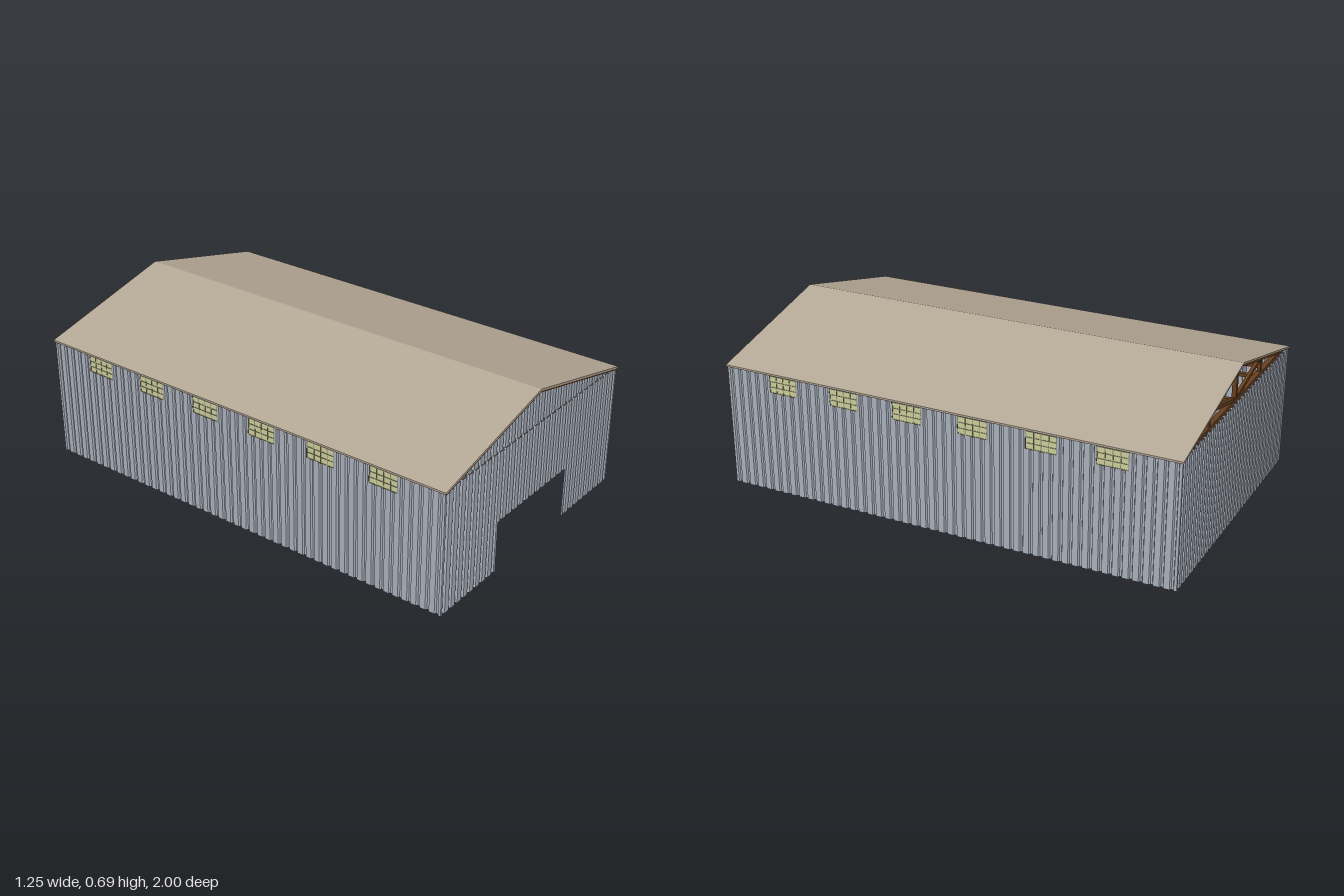
import * as THREE from 'three';

const W = 0.62, L = 0.995;            // half width and half length of the walls
const EAVE = 0.53, RIDGE = 0.688;     // roof top heights
const PITCH = 0.0415, DEPTH = 0.008;  // corrugation
const roofY = x => RIDGE - (RIDGE - 0.535) * Math.abs(x) / 0.625;

const wallMat = new THREE.MeshStandardMaterial({ name: 'galvanised steel', color: 0xabb2be, side: THREE.DoubleSide });
const roofMat = new THREE.MeshStandardMaterial({ name: 'tan roofing', color: 0xb5a896 });
const woodMat = new THREE.MeshStandardMaterial({ name: 'brown timber', color: 0x67401f });
const glassMat = new THREE.MeshStandardMaterial({ name: 'pale yellow glass', color: 0xcfcf9c });
const frameMat = new THREE.MeshStandardMaterial({ name: 'olive window bars', color: 0x84866a });

// Corrugated sheet from u0 to u1 with a wide flat and a narrow inward groove
function sheet(name, u0, u1, bottom, top) {
  const steps = [[0, 0], [0.3, 0], [0.4, -DEPTH], [0.6, -DEPTH], [0.7, 0]];
  const depthAt = u => {
    const t = ((u / PITCH) % 1 + 1) % 1;
    if (t < 0.3 || t > 0.7) return 0;
    return -DEPTH * Math.min(1, (t - 0.3) / 0.1, (0.7 - t) / 0.1);
  };
  const us = [u0];
  for (let k = Math.floor(u0 / PITCH); k <= u1 / PITCH; k++)
    for (const [t] of steps) {
      const u = (k + t) * PITCH;
      if (u > u0 + 1e-4 && u < u1 - 1e-4) us.push(u);
    }
  us.push(u1);
  const topAt = typeof top === 'function' ? top : () => top;
  const pos = [];
  for (let i = 0; i < us.length - 1; i++) {
    const a = us[i], b = us[i + 1], za = depthAt(a), zb = depthAt(b);
    pos.push(a, bottom, za, b, bottom, zb, b, topAt(b), zb);
    pos.push(a, bottom, za, b, topAt(b), zb, a, topAt(a), za);
  }
  const g = new THREE.BufferGeometry();
  g.setAttribute('position', new THREE.Float32BufferAttribute(pos, 3));
  g.computeVertexNormals();
  const m = new THREE.Mesh(g, wallMat);
  m.name = name;
  return m;
}

function box(name, mat, w, h, d, x, y, z) {
  const m = new THREE.Mesh(new THREE.BoxGeometry(w, h, d), mat);
  m.name = name;
  m.position.set(x, y, z);
  return m;
}

// Square timber between two points
function beam(name, a, b, w = 0.018, h = w) {
  const p = new THREE.Vector3(...a), q = new THREE.Vector3(...b);
  const m = new THREE.Mesh(new THREE.BoxGeometry(w, h, p.distanceTo(q)), woodMat);
  m.name = name;
  m.position.copy(p).add(q).multiplyScalar(0.5);
  m.lookAt(q);
  return m;
}

// Window with a 4 by 3 grid of bars
function windowUnit(u) {
  const g = new THREE.Group();
  g.name = 'window';
  g.position.set(u, 0.486, -0.004);
  g.add(box('glass', glassMat, 0.13, 0.075, 0.004, 0, 0, 0));
  for (let i = 0; i <= 4; i++) g.add(box('verticalBar', frameMat, 0.003, 0.075, 0.007, -0.0635 + i * 0.03175, 0, 0));
  for (let j = 0; j <= 3; j++) g.add(box('crossBar', frameMat, 0.13, 0.003, 0.007, 0, -0.036 + j * 0.024, 0));
  return g;
}

// Long wall with six window openings under the eave
function sideWall(name) {
  const g = new THREE.Group();
  g.name = name;
  g.add(sheet('lowerSheet', -L, L, 0, 0.449));
  let start = -L;
  for (let i = 0; i < 6; i++) {
    const u = (i - 2.5) * 0.29;
    g.add(sheet('upperSheet', start, u - 0.065, 0.449, EAVE), windowUnit(u));
    start = u + 0.065;
  }
  g.add(sheet('upperSheet', start, L, 0.449, EAVE));
  return g;
}

export function createModel() {
  const model = new THREE.Group();
  model.name = 'warehouse';

  // Side walls
  for (const s of [-1, 1]) {
    const wall = sideWall(s > 0 ? 'leftWall' : 'rightWall');
    wall.rotation.y = s * Math.PI / 2;
    wall.position.x = s * W;
    model.add(wall);
  }

  // Front wall with doorway and gable
  const front = new THREE.Group();
  front.name = 'frontWall';
  front.position.z = L;
  front.add(sheet('frontRightSheet', -W, -0.25, 0, 0.535));
  front.add(sheet('doorHeaderSheet', -0.25, 0.245, 0.222, 0.535));
  front.add(sheet('frontLeftSheet', 0.245, W, 0, 0.535));
  const gable = sheet('frontGable', -W, W, 0.53, x => roofY(x) - 0.006);
  gable.position.z = -0.006;
  front.add(gable);
  model.add(front);

  // Back wall, open above the eave
  const back = sheet('backWall', -W, W, 0, 0.535);
  back.rotation.y = Math.PI;
  back.position.z = -L;
  model.add(back);

  // Roof: thin folded slab
  const t = 0.008;
  const outline = new THREE.Shape([
    [-0.625, 0.535], [-0.625, 0.535 - t], [0, RIDGE - t], [0.625, 0.535 - t], [0.625, 0.535], [0, RIDGE],
  ].map(p => new THREE.Vector2(...p)));
  const roofGeo = new THREE.ExtrudeGeometry(outline, { depth: 2, bevelEnabled: false });
  roofGeo.translate(0, 0, -1);
  const roof = new THREE.Mesh(roofGeo, roofMat);
  roof.name = 'roof';
  model.add(roof);

  // Roof trusses
  const wx = 0.6;
  for (let i = 0; i < 7; i++) {
    const z = -0.97 + i * 1.94 / 6;
    const truss = new THREE.Group();
    truss.name = 'truss';
    truss.add(beam('bottomChord', [-wx, 0.525, z], [wx, 0.525, z], 0.022));
    truss.add(beam('kingPost', [0, 0.525, z], [0, 0.665, z]));
    for (const s of [-1, 1]) {
      truss.add(beam('rafter', [s * wx, roofY(wx) - 0.019, z], [0, RIDGE - 0.019, z]));
      truss.add(beam('webBrace', [0, 0.53, z], [s * 0.3, roofY(0.3) - 0.02, z], 0.014));
      truss.add(beam('webPost', [s * 0.3, 0.525, z], [s * 0.3, roofY(0.3) - 0.02, z], 0.014));
    }
    model.add(truss);
  }

  // Lengthwise timbers: wall plates, tie beams, purlins and girts
  for (const x of [-0.3, -0.03, 0.03, 0.3])
    model.add(beam('tieBeam', [x, 0.509, -0.98], [x, 0.509, 0.98], 0.02, 0.014));
  for (const s of [-1, 1]) {
    model.add(beam('wallPlate', [s * 0.6, 0.523, -0.98], [s * 0.6, 0.523, 0.98], 0.02, 0.014));
    model.add(beam('sideGirt', [s * 0.598, 0.435, -0.98], [s * 0.598, 0.435, 0.98], 0.02));
    model.add(beam('endGirt', [-0.6, 0.435, s * 0.972], [0.6, 0.435, s * 0.972], 0.02));
    for (const x of [0.15, 0.45])
      model.add(beam('purlin', [s * x, roofY(x) - 0.02, -0.98], [s * x, roofY(x) - 0.02, 0.98], 0.016));
    // Front rake boards below the roof edge
    model.add(beam('rakeBoard', [s * 0.62, roofY(0.62) - 0.011, 0.995], [0, RIDGE - 0.011, 0.995], 0.007, 0.007));
  }
  return model;
}
